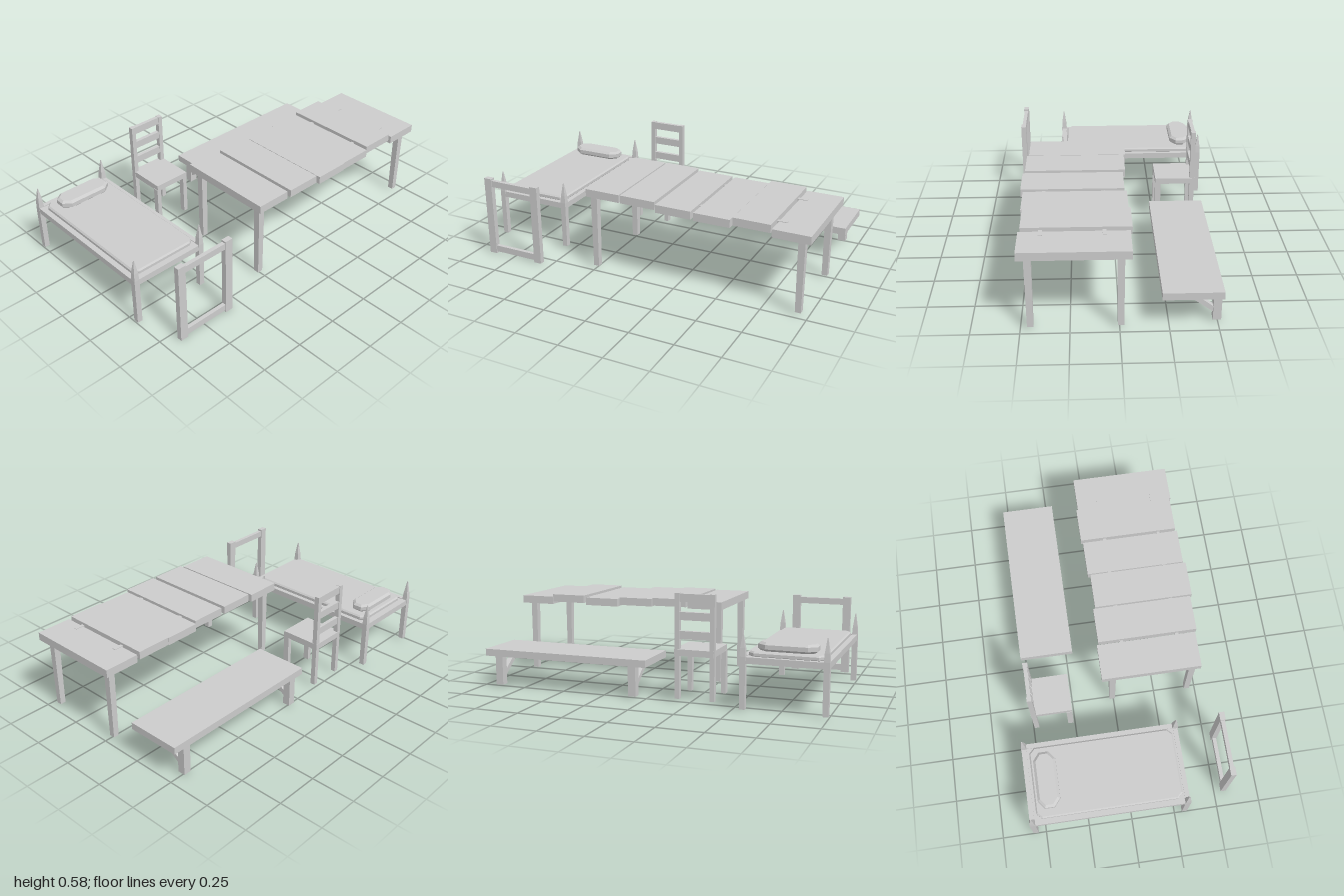
import * as THREE from 'three';

const material = new THREE.MeshStandardMaterial({ color: 0xcccccc, flatShading: true });

function add(parent, name, geometry) {
  const mesh = new THREE.Mesh(geometry, material);
  mesh.name = name;
  parent.add(mesh);
  return mesh;
}

// Box given by its limits
function box(parent, name, [x0, x1], [y0, y1], [z0, z1]) {
  const mesh = add(parent, name, new THREE.BoxGeometry(x1 - x0, y1 - y0, z1 - z0));
  mesh.position.set((x0 + x1) / 2, (y0 + y1) / 2, (z0 + z1) / 2);
  return mesh;
}

// Square turned post from a [half width, height] profile
function post(parent, name, x, z, profile) {
  const points = profile.map(([h, y]) => new THREE.Vector2(h * Math.SQRT2, y));
  const mesh = add(parent, name, new THREE.LatheGeometry(points, 4, Math.PI / 4));
  mesh.position.set(x, 0, z);
  return mesh;
}

// Cushion: rectangle with cut corners and bevelled edges, lying flat
function cushion(parent, name, [x0, x1], [y0, y1], [z0, z1], cutX, cutZ, bevel, rise) {
  const w = (x1 - x0) / 2 - bevel, d = (z1 - z0) / 2 - bevel;
  const corners = [[w, -d + cutZ], [w, d - cutZ], [w - cutX, d], [-w + cutX, d],
    [-w, d - cutZ], [-w, -d + cutZ], [-w + cutX, -d], [w - cutX, -d]];
  const shape = new THREE.Shape(corners.map(([x, y]) => new THREE.Vector2(x, y)));
  const geometry = new THREE.ExtrudeGeometry(shape, {
    depth: y1 - y0 - 2 * rise, bevelThickness: rise, bevelSize: bevel, bevelSegments: 1,
  });
  geometry.rotateX(-Math.PI / 2);
  const mesh = add(parent, name, geometry);
  mesh.position.set((x0 + x1) / 2, y0 + rise, (z0 + z1) / 2);
}

function group(parent, name) {
  const g = new THREE.Group();
  g.name = name;
  parent.add(g);
  return g;
}

function buildTable(parent) {
  const table = group(parent, 'table');
  // Uneven planks: x start, top height, z start
  const planks = [[-0.06, 0.473, -1], [-0.07, 0.49, -0.786], [-0.06, 0.478, -0.57],
    [-0.047, 0.487, -0.355], [-0.06, 0.495, -0.138], [-0.07, 0.49, 0.082]];
  for (const [x, top, z] of planks) {
    box(table, 'tablePlank', [x, x + 0.563], [top - 0.045, top], [z, z + 0.205]);
  }
  for (const x of [0.07, 0.39]) {
    box(table, 'tableRunner', [x - 0.01, x + 0.01], [0.452, 0.476], [-0.84, 0.15]);
  }
  for (const x of [-0.007, 0.45]) {
    for (const z of [-0.943, 0.252]) {
      post(table, 'tableLeg', x, z, [[0, 0.018], [0.016, 0.018], [0.019, 0.45]]);
    }
  }
}

function buildBench(parent) {
  const bench = group(parent, 'bench');
  box(bench, 'benchTop', [-0.52, -0.21], [0.18, 0.22], [-0.985, 0.002]);
  for (const z of [-0.078, -0.9]) {
    box(bench, 'benchLeg', [-0.518, -0.475], [0.016, 0.185], [z - 0.022, z + 0.022]);
    // Slanting brace from the leg up to the top
    const brace = new THREE.Shape([[-0.5, 0.042], [-0.308, 0.185], [-0.355, 0.185], [-0.5, 0.073]]
      .map(([x, y]) => new THREE.Vector2(x, y)));
    add(bench, 'benchBrace', new THREE.ExtrudeGeometry(brace, { depth: 0.03, bevelEnabled: false }))
      .position.z = z - 0.015;
  }
}

function buildChair(parent) {
  const chair = group(parent, 'chair');
  box(chair, 'chairSeat', [-0.496, -0.258], [0.255, 0.29], [0.16, 0.38]);
  for (const z of [0.174, 0.37]) {
    box(chair, 'chairBackPost', [-0.494, -0.466], [0.02, 0.588], [z - 0.013, z + 0.013]);
    box(chair, 'chairFrontLeg', [-0.291, -0.258], [0.02, 0.26], [z - 0.013, z + 0.013]);
  }
  for (const y of [0.345, 0.446, 0.543]) {
    box(chair, 'chairSlat', [-0.491, -0.469], [y, y + 0.043], [0.18, 0.365]);
  }
}

function buildBed(parent) {
  const bed = group(parent, 'bed');
  for (const x of [-0.558, 0.308]) {
    for (const z of [0.556, 0.985]) {
      post(bed, 'bedPost', x, z,
        [[0, 0.015], [0.015, 0.015], [0.0155, 0.29], [0.0125, 0.335], [0.002, 0.41], [0, 0.41]]);
    }
    box(bed, 'bedEndRail', [x - 0.013, x + 0.013], [0.255, 0.289], [0.556, 0.985]);
  }
  for (const z of [0.554, 0.986]) {
    box(bed, 'bedSideRail', [-0.558, 0.308], [0.255, 0.289], [z - 0.013, z + 0.013]);
  }
  box(bed, 'bedBase', [-0.55, 0.3], [0.262, 0.285], [0.56, 0.98]);
  cushion(bed, 'mattress', [-0.53, 0.286], [0.28, 0.311], [0.572, 0.968], 0.025, 0.025, 0.008, 0.008);
  cushion(bed, 'pillow', [-0.511, -0.387], [0.311, 0.358], [0.612, 0.922], 0.028, 0.035, 0.014, 0.012);
}

function buildFrame(parent) {
  const frame = group(parent, 'standingFrame');
  for (const z of [0.584, 0.893]) {
    box(frame, 'framePost', [0.54, 0.57], [0.006, 0.472], [z - 0.023, z + 0.023]);
  }
  for (const y of [0.018, 0.424]) {
    box(frame, 'frameRail', [0.544, 0.566], [y, y + 0.037], [0.59, 0.89]);
  }
}

export function createModel() {
  const model = new THREE.Group();
  model.name = 'furnitureSet';
  buildTable(model);
  buildBench(model);
  buildChair(model);
  buildBed(model);
  buildFrame(model);
  return model;
}
